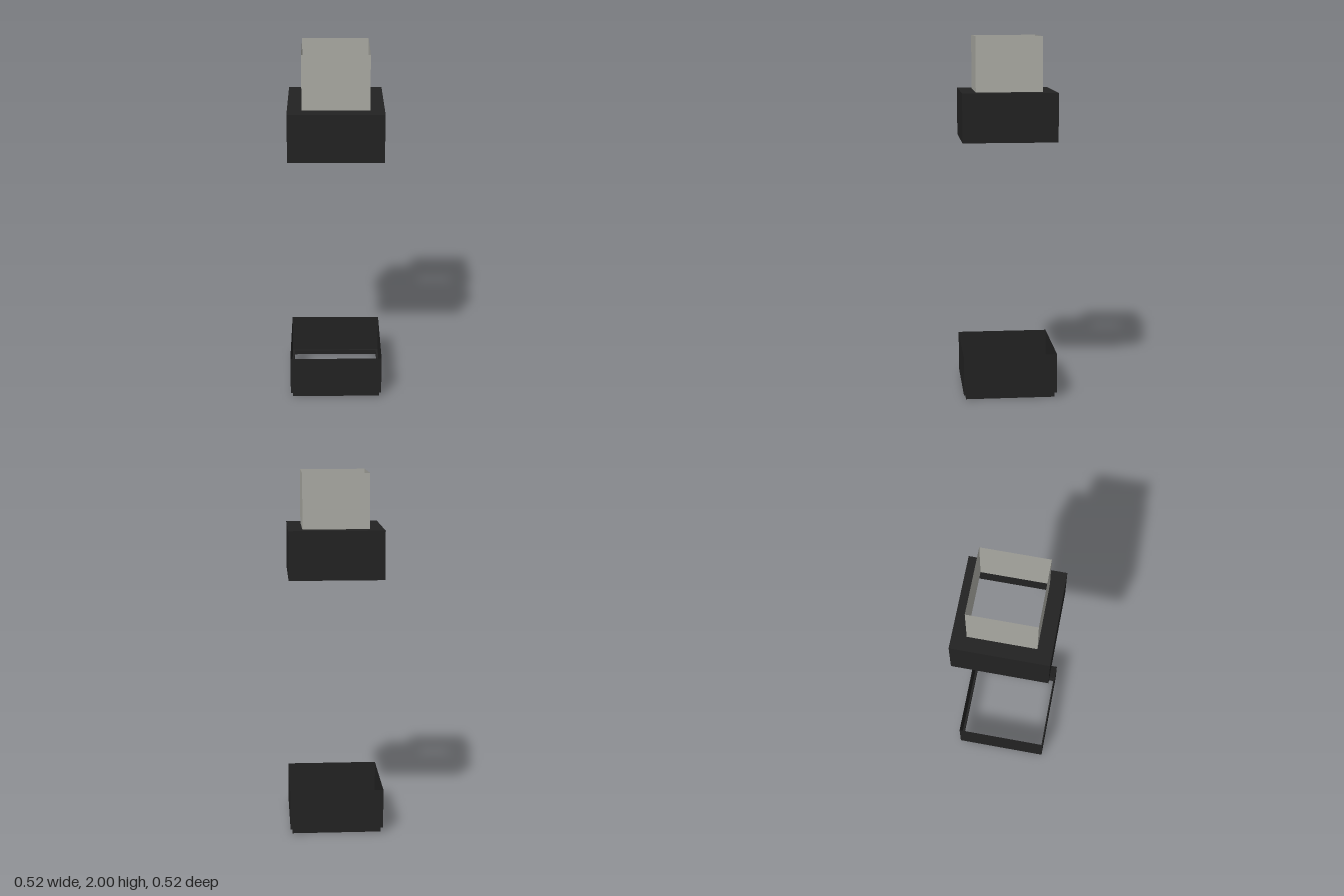
import * as THREE from 'three';
import { mergeGeometries } from 'three/addons/utils/BufferGeometryUtils.js';

// Four thin upright walls around a square, open above and below
function squareWalls(half, y0, y1) {
  const walls = [];
  for (let i = 0; i < 4; i++) {
    walls.push(new THREE.PlaneGeometry(half * 2, y1 - y0)
      .translate(0, (y0 + y1) / 2, half)
      .rotateY(i * Math.PI / 2));
  }
  return mergeGeometries(walls);
}

// Flat square frame lying at height y
function squareRing(outer, inner, y) {
  const corners = (h) => [[-h, -h], [h, -h], [h, h], [-h, h]].map(([x, z]) => new THREE.Vector2(x, z));
  const shape = new THREE.Shape(corners(outer));
  shape.holes.push(new THREE.Path(corners(inner).reverse()));
  return new THREE.ShapeGeometry(shape).rotateX(-Math.PI / 2).translate(0, y, 0);
}

export function createModel() {
  const black = new THREE.MeshStandardMaterial({ color: 0x222222, side: THREE.DoubleSide });
  black.name = 'black';
  const paleGrey = new THREE.MeshStandardMaterial({ color: 0xaaaaa3, side: THREE.DoubleSide });
  paleGrey.name = 'pale grey';

  const model = new THREE.Group();
  const add = (name, geometry, material) => {
    const mesh = new THREE.Mesh(geometry, material);
    mesh.name = name;
    model.add(mesh);
  };

  // Base: a slightly inset foot, a narrow ledge and an open square tray wall
  add('baseFoot', squareWalls(0.248, 0, 0.027), black);
  add('baseLedge', squareRing(0.26, 0.248, 0.027), black);
  add('baseWalls', squareWalls(0.26, 0.027, 0.25), black);

  // Collar: open underneath, with a square opening in its top
  add('collarWalls', squareWalls(0.26, 1.433, 1.7), black);
  add('collarTop', squareRing(0.26, 0.182, 1.7), black);

  // Neck: open square tube rising from the collar
  add('neck', squareWalls(0.182, 1.7, 2), paleGrey);

  return model;
}
